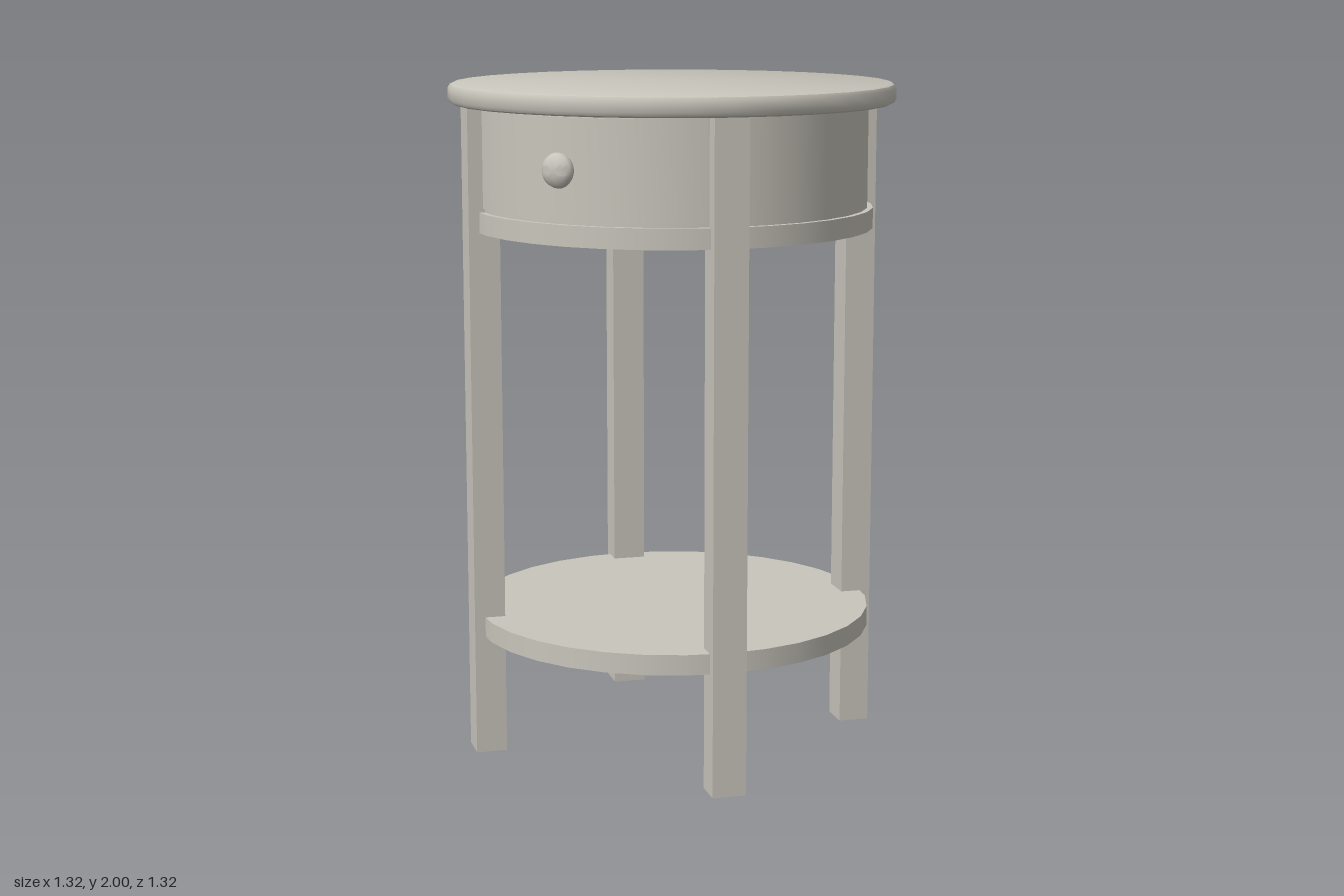
import * as THREE from 'three';
import { toCreasedNormals } from 'three/addons/utils/BufferGeometryUtils.js';

const SIDES = 32;
const paint = new THREE.MeshStandardMaterial({ color: 0xc8c5bb });
paint.name = 'warm grey paint';

function add(parent, name, geometry, x = 0, y = 0, z = 0) {
  const mesh = new THREE.Mesh(geometry, paint);
  mesh.name = name;
  mesh.position.set(x, y, z);
  parent.add(mesh);
  return mesh;
}

// Round slab standing between two heights
function disc(parent, name, radius, y0, y1) {
  return add(parent, name, new THREE.CylinderGeometry(radius, radius, y1 - y0, SIDES), 0, (y0 + y1) / 2, 0);
}

function lathe(points, sides, crease) {
  const profile = points.map(([r, y]) => new THREE.Vector2(r, y));
  return toCreasedNormals(new THREE.LatheGeometry(profile, sides), crease);
}

export function createModel() {
  const table = new THREE.Group();
  table.name = 'roundSideTable';

  // Table top with softened rim
  add(table, 'tableTop', lathe([
    [0, 1.94], [0.645, 1.94], [0.654, 1.944], [0.66, 1.954],
    [0.66, 1.986], [0.654, 1.996], [0.645, 2], [0, 2],
  ], SIDES, 0.6));

  // Drum-shaped apron and the two shelves
  disc(table, 'apron', 0.58, 1.635, 1.94);
  disc(table, 'upperShelf', 0.597, 1.575, 1.635);
  disc(table, 'lowerShelf', 0.597, 0.36, 0.42);

  // Curved drawer front between the front legs
  const half = 0.685;
  const front = new THREE.Shape();
  front.absarc(0, 0, 0.586, -Math.PI / 2 - half, -Math.PI / 2 + half, false);
  front.absarc(0, 0, 0.57, -Math.PI / 2 + half, -Math.PI / 2 - half, true);
  front.closePath();
  const panel = new THREE.ExtrudeGeometry(front, { depth: 0.286, bevelEnabled: false, curveSegments: 12 });
  panel.rotateX(-Math.PI / 2);
  add(table, 'drawerFront', toCreasedNormals(panel, 0.6), 0, 1.647, 0);

  // Drawer knob on a short stem
  const knob = lathe([
    [0.02, 0], [0.02, 0.03], [0.036, 0.032], [0.046, 0.039], [0.05, 0.049],
    [0.046, 0.06], [0.036, 0.069], [0.02, 0.075], [0, 0.077],
  ], 24, 0.8);
  knob.rotateX(Math.PI / 2);
  add(table, 'drawerKnob', knob, 0, 1.79, 0.583);

  // Four square legs turned to face outward
  for (let i = 0; i < 4; i++) {
    const angle = Math.PI / 4 + (i * Math.PI) / 2;
    const r = 0.578;
    const leg = add(table, 'leg', new THREE.BoxGeometry(0.1, 1.94, 0.092),
      Math.sin(angle) * r, 0.97, Math.cos(angle) * r);
    leg.rotation.y = angle;
  }
  return table;
}
